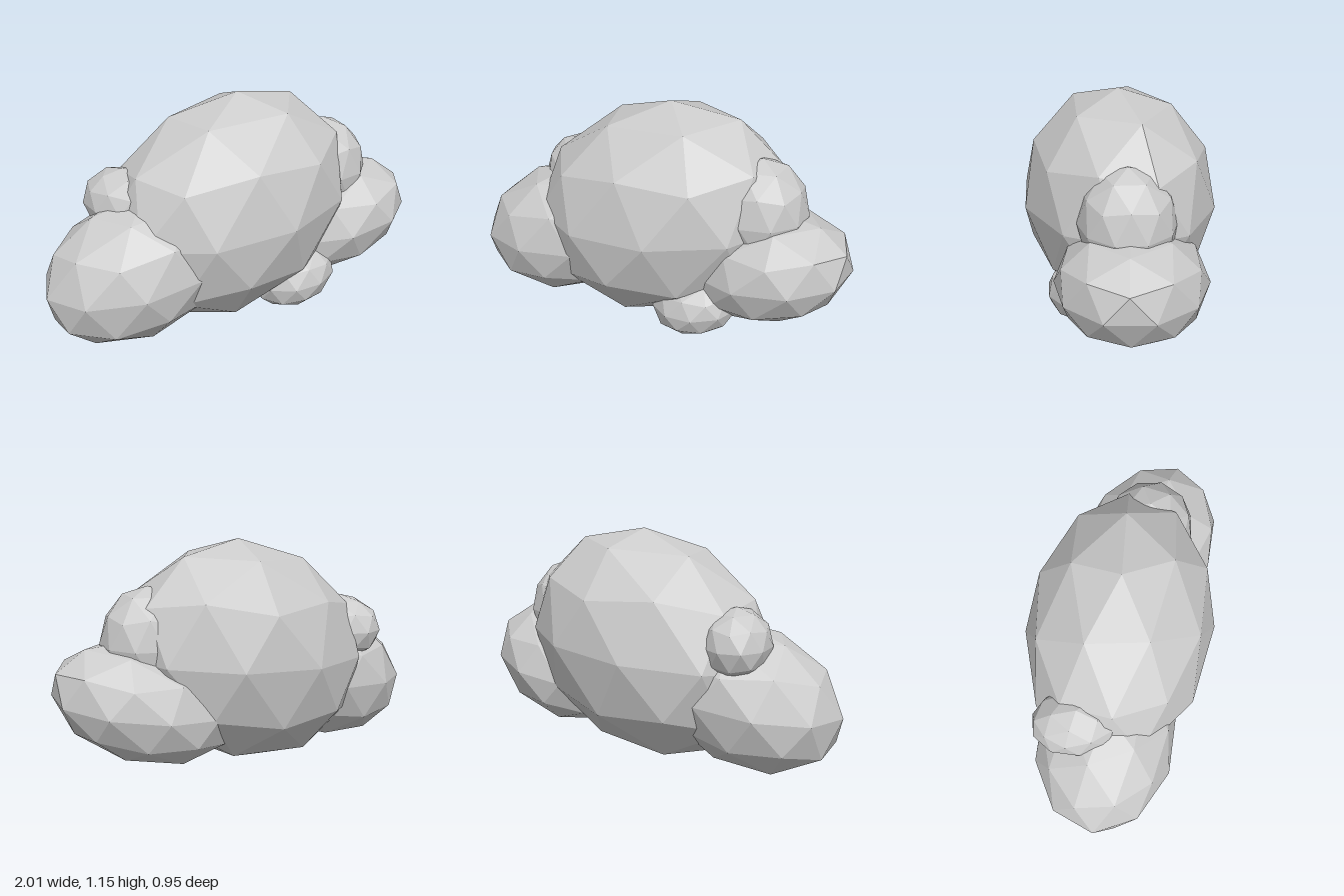
import * as THREE from 'three';

// Faceted ball with one vertex pointing straight up
function facetedBall() {
  const geometry = new THREE.IcosahedronGeometry(1, 1);
  geometry.rotateZ(Math.atan2(0.526, 0.851));
  geometry.rotateY(Math.PI);
  return geometry;
}

export function createModel() {
  const cloud = new THREE.Group();
  cloud.name = 'cloud';
  const material = new THREE.MeshStandardMaterial({ color: 0xcccccc, flatShading: true });
  const ball = facetedBall();

  // name, centre, radii, tilt about z, yaw about y, turn of the facets
  const puffs = [
    ['mainPuff', [0.005, 0.587, 0], [0.69, 0.555, 0.48], 0.42, 0.02, 0.16],
    ['leftLobe', [0.58, 0.41, 0.035], [0.46, 0.285, 0.36], 0.33, -0.35, -0.2],
    ['rightLobe', [-0.52, 0.38, 0.03], [0.495, 0.345, 0.36], 0.32, 0, 2.9],
    ['upperLeftPuff', [0.54, 0.7, 0.05], [0.235, 0.27, 0.23], 0, 0, 0.5],
    ['upperRightPuff', [-0.52, 0.665, -0.105], [0.175, 0.175, 0.23], 0, 0.4, 0.6],
    ['lowerFrontPuff', [0.28, 0.203, 0.2], [0.23, 0.163, 0.2], 0.3, 0, 0.2],
  ];

  for (const [name, centre, radii, tilt, yaw, turn] of puffs) {
    // Stretch along tilted axes while the facets stay upright
    const axes = new THREE.Quaternion().setFromEuler(new THREE.Euler(0, yaw, tilt, 'YZX'));
    const geometry = ball.clone().rotateY(turn)
      .applyQuaternion(axes.clone().invert())
      .scale(...radii)
      .applyQuaternion(axes);
    const puff = new THREE.Mesh(geometry, material);
    puff.name = name;
    puff.position.set(...centre);
    cloud.add(puff);
  }
  return cloud;
}
